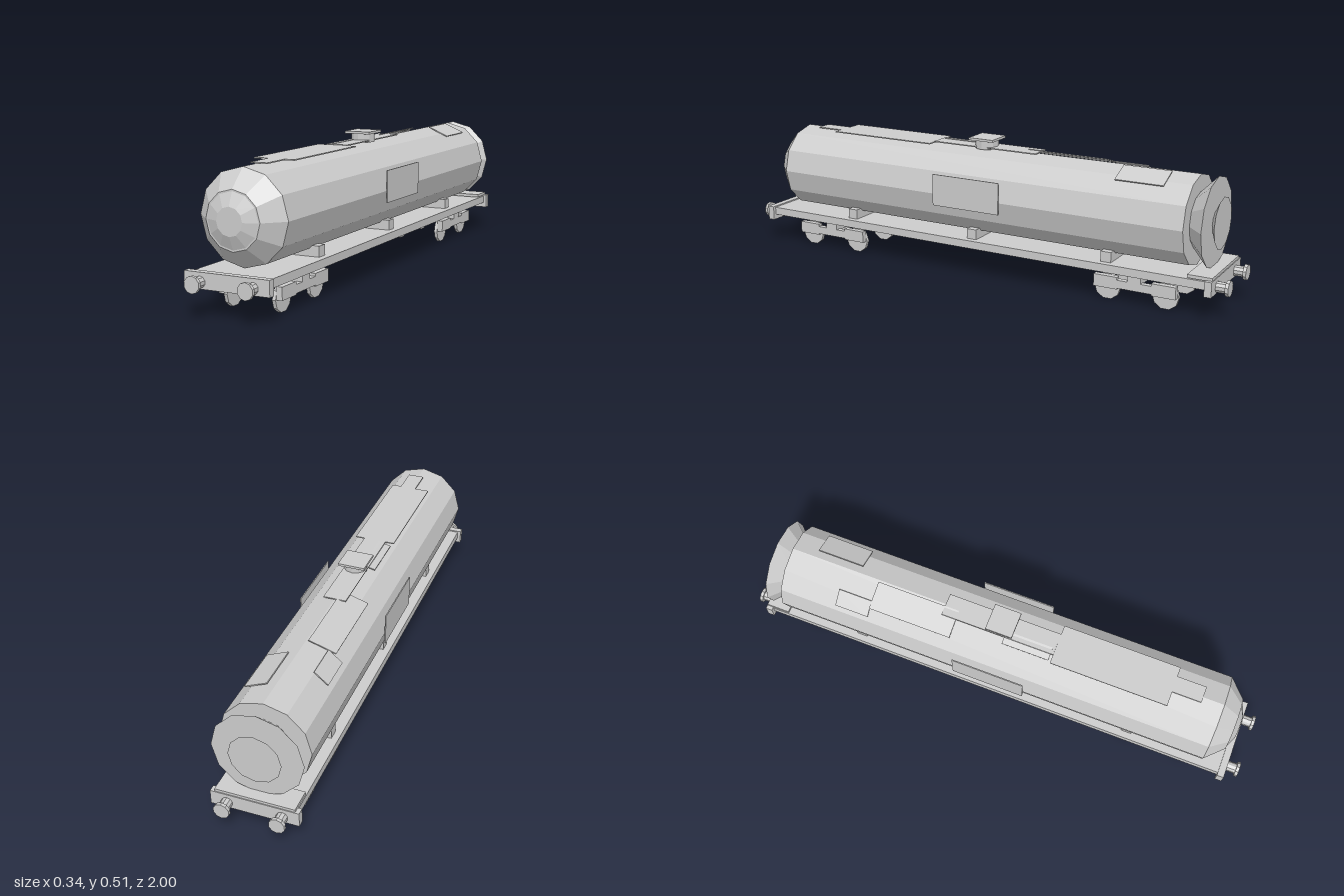
import * as THREE from 'three';

export function createModel() {
  const model = new THREE.Group();
  const grey = new THREE.MeshStandardMaterial({ color: 0xcccccc, flatShading: true });
  grey.name = 'light grey';

  const add = (name, geometry, x, y, z) => {
    const mesh = new THREE.Mesh(geometry, grey);
    mesh.name = name;
    mesh.position.set(x, y, z);
    model.add(mesh);
    return mesh;
  };
  // Box given by its limits on each axis
  const box = (name, x0, x1, y0, y1, z0, z1) =>
    add(name, new THREE.BoxGeometry(x1 - x0, y1 - y0, z1 - z0),
      (x0 + x1) / 2, (y0 + y1) / 2, (z0 + z1) / 2);
  // Cylinder along z: rBack at z0, rFront at z1
  const drum = (name, rBack, rFront, z0, z1, x, y, sides) => {
    const g = new THREE.CylinderGeometry(rFront, rBack, z1 - z0, sides);
    g.rotateX(Math.PI / 2);
    return add(name, g, x, y, (z0 + z1) / 2);
  };
  // Thin slab whose section runs from (x0, y0) to (x1, y1)
  const plate = (name, x0, y0, x1, y1, z0, z1) => {
    const length = Math.hypot(x1 - x0, y1 - y0);
    const mesh = add(name, new THREE.BoxGeometry(length, 0.004, z1 - z0),
      (x0 + x1) / 2, (y0 + y1) / 2, (z0 + z1) / 2);
    mesh.rotation.z = Math.atan2(y1 - y0, x1 - x0);
  };

  // Tank barrel with stepped ends
  const cy = 0.314;
  drum('tankBarrel', 0.164, 0.164, -0.845, 0.845, 0, cy, 12);
  drum('frontDome', 0.164, 0.1, 0.845, 0.91, 0, cy, 12);
  drum('frontCap', 0.094, 0.048, 0.91, 0.93, 0, cy, 12);
  drum('backFlare', 0.164, 0.1, -0.908, -0.845, 0, cy, 12);
  drum('backCap', 0.094, 0.048, -0.93, -0.908, 0, cy, 12);

  // Filler hatch
  add('hatchNeck', new THREE.CylinderGeometry(0.044, 0.044, 0.034, 12), 0, 0.492, 0);
  box('hatchLid', -0.051, 0.051, 0.508, 0.517, -0.051, 0.051);

  // Patch plates on the roof
  plate('roofPlate', -0.078, 0.48, 0.076, 0.48, 0.21, 0.655);
  plate('roofPlate', -0.022, 0.48, 0.04, 0.48, 0.65, 0.765);
  plate('roofPlate', -0.045, 0.482, 0.04, 0.482, -0.225, 0.21);
  plate('roofPlate', -0.068, 0.472, -0.02, 0.484, 0.02, 0.2);
  plate('roofPlate', -0.11, 0.452, -0.01, 0.484, -0.49, -0.17);
  plate('roofPlate', -0.132, 0.42, -0.082, 0.462, -0.62, -0.49);
  plate('roofPlate', 0.028, 0.481, 0.109, 0.446, -0.75, -0.57);

  // Side panels
  for (const s of [-1, 1]) {
    const x = s * 0.1665;
    box('sidePanel', x - 0.002, x + 0.002, 0.27, 0.39, -0.14, 0.14);
  }

  // Underframe and tank saddles
  box('underframe', -0.145, 0.145, 0.115, 0.145, -0.93, 0.93);
  box('backStep', -0.143, 0.143, 0.148, 0.16, -0.95, -0.86);
  for (const z of [-0.55, 0, 0.55]) {
    box('saddle', -0.12, 0.12, 0.14, 0.183, z - 0.02, z + 0.02);
  }

  for (const end of [-1, 1]) {
    // End beam and bumpers
    const zb = end * 0.94;
    box('endBeam', -0.158, 0.158, 0.095, 0.15, zb - 0.013, zb + 0.013);
    for (const s of [-1, 1]) {
      const zs = end * 0.97, zh = end * 0.994;
      drum('bumperShaft', 0.02, 0.02, zs - 0.02, zs + 0.02, s * 0.098, 0.118, 10);
      drum('bumperHead', 0.029, 0.029, zh - 0.006, zh + 0.006, s * 0.098, 0.118, 10);
    }

    // Bogie: bolster, side frames, axle boxes and wheels
    const zc = end * 0.66;
    box('bolster', -0.12, 0.12, 0.08, 0.116, zc - 0.025, zc + 0.025);
    for (const s of [-1, 1]) {
      const xf = s * 0.109, xw = s * 0.0915;
      box('bogieFrame', xf - 0.011, xf + 0.011, 0.055, 0.085, zc - 0.07, zc + 0.07);
      for (const d of [-0.11, 0.11]) {
        const z = zc + d;
        box('axleBox', xf - 0.011, xf + 0.011, 0.05, 0.095, z - 0.045, z + 0.045);
        const wheel = new THREE.CylinderGeometry(0.05, 0.05, 0.013, 10);
        wheel.rotateZ(Math.PI / 2);
        add('wheel', wheel, xw, 0.05, z);
      }
    }
  }
  return model;
}
